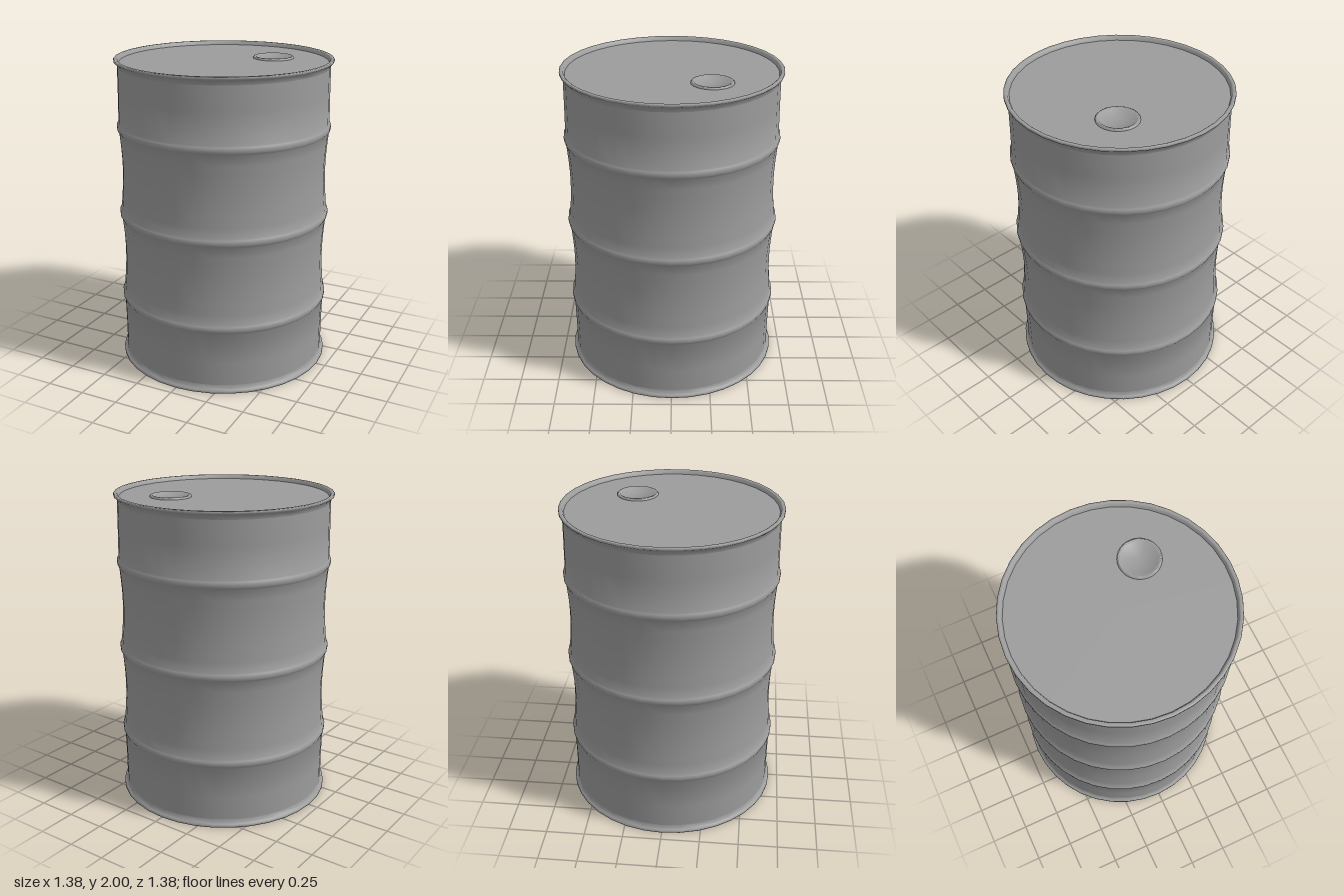
import * as THREE from 'three';
import { toCreasedNormals } from 'three/addons/utils/BufferGeometryUtils.js';

const SIDES = 36;
const material = new THREE.MeshStandardMaterial({ color: 0x9c9c9c });

// Turned part from [radius, height] pairs listed so that faces point outwards
function turned(name, profile, sides = SIDES) {
  const points = profile.map(([r, y]) => new THREE.Vector2(r, y));
  const geometry = toCreasedNormals(new THREE.LatheGeometry(points, sides), 1.15);
  const mesh = new THREE.Mesh(geometry, material);
  mesh.name = name;
  return mesh;
}

// Half-round rolling hoop around the wall
function hoop(y) {
  return [[0.673, y - 0.03], [0.679, y - 0.02], [0.684, y - 0.01], [0.684, y + 0.01],
    [0.679, y + 0.02], [0.673, y + 0.03]];
}

// Gentle inward curve between two hoops
function waist(y0, y1) {
  const points = [];
  for (let i = 1; i < 8; i++) {
    const t = i / 8;
    points.push([0.673 - 0.016 * Math.sin(Math.PI * t), y0 + (y1 - y0) * t]);
  }
  return points;
}

export function createModel() {
  const drum = new THREE.Group();
  drum.name = 'drum';

  // Wall with three hoops
  const hoops = [0.435, 1.003, 1.572];
  const wall = [[0.669, 0.05], [0.669, 0.2], ...hoop(hoops[0]), ...waist(hoops[0] + 0.03, hoops[1] - 0.03),
    ...hoop(hoops[1]), ...waist(hoops[1] + 0.03, hoops[2] - 0.03), ...hoop(hoops[2]),
    [0.67, 1.8], [0.669, 1.95]];
  drum.add(turned('wall', wall));

  // Rolled rims, each closing a recessed end plate
  const rim = [[0.669, 1.95], [0.673, 1.972], [0.681, 1.979], [0.69, 1.986], [0.69, 1.997], [0.687, 2],
    [0.672, 2], [0.666, 1.996], [0.658, 1.975], [0, 1.975]];
  drum.add(turned('topRimAndLid', rim));
  drum.add(turned('bottomRimAndBase', rim.map(([r, y]) => [r, 2 - y]).reverse()));

  // Filler cap with a raised, rounded edge
  const cap = turned('fillerCap', [[0.131, 1.973], [0.13, 1.981], [0.126, 1.986], [0.12, 1.988],
    [0.113, 1.986], [0.107, 1.98], [0, 1.98]], 32);
  cap.position.set(0.235, 0, -0.241);
  drum.add(cap);

  return drum;
}
